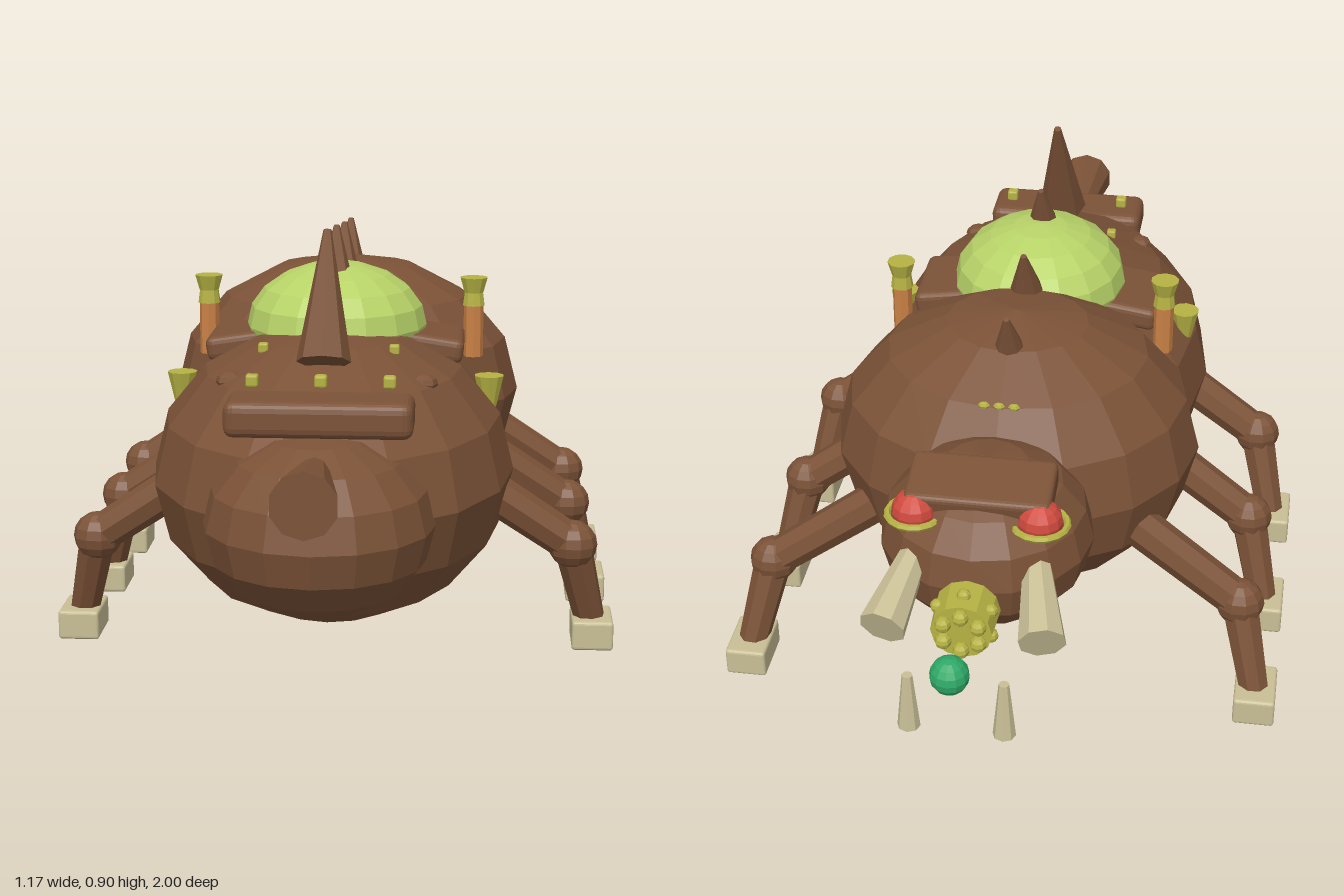
import * as THREE from 'three';
import { RoundedBoxGeometry } from 'three/addons/geometries/RoundedBoxGeometry.js';

const paint = (name, color) => {
  const m = new THREE.MeshStandardMaterial({ color, flatShading: true });
  m.name = name;
  return m;
};

export function createModel() {
  const model = new THREE.Group();
  model.name = 'beetle';
  const brown = paint('shell brown', 0x7b5237);
  const lime = paint('dome lime', 0xb8d368);
  const olive = paint('brass yellow', 0xb6b244);
  const cream = paint('claw cream', 0xc9bf96);
  const red = paint('eye red', 0xcf4a3e);
  const green = paint('orb green', 0x2fa968);
  const orange = paint('pipe orange', 0xc98146);

  const add = (name, geometry, material, pos = [0, 0, 0], rot = [0, 0, 0]) => {
    const mesh = new THREE.Mesh(geometry, material);
    mesh.name = name;
    mesh.position.set(...pos);
    mesh.rotation.set(...rot);
    model.add(mesh);
    return mesh;
  };
  const ball = (name, mat, pos, [rx, ry, rz], w = 16, h = 8) =>
    add(name, new THREE.SphereGeometry(1, w, h).scale(rx, ry, rz), mat, pos);
  const box = (name, mat, pos, size, radius, rot) =>
    add(name, new RoundedBoxGeometry(...size, 2, radius), mat, pos, rot);
  // Tapered round bar from a to b
  const taper = (name, mat, a, b, ra, rb, sides = 8) => {
    const p = new THREE.Vector3(...a), q = new THREE.Vector3(...b);
    const dir = q.clone().sub(p);
    const mesh = add(name, new THREE.CylinderGeometry(rb, ra, dir.length(), sides), mat);
    mesh.position.copy(p).add(q).multiplyScalar(0.5);
    mesh.quaternion.setFromUnitVectors(new THREE.Vector3(0, 1, 0), dir.normalize());
    return mesh;
  };

  // Body masses
  ball('abdomen', brown, [0, 0.39, 0.27], [0.37, 0.3, 0.5]);
  ball('thorax', brown, [0, 0.47, -0.16], [0.383, 0.3, 0.34]);
  ball('head', brown, [0, 0.5, -0.55], [0.21, 0.17, 0.21]);
  ball('tailBulb', brown, [0, 0.375, 0.66], [0.22, 0.175, 0.225]);
  taper('tailNozzle', brown, [0, 0.5, 0.65], [0, 0.5, 1], 0.012, 0.062, 10);
  ball('dome', lime, [0, 0.67, 0.165], [0.187, 0.13, 0.197], 16, 10);

  // Armour plates
  box('tailPlate', brown, [0, 0.578, 0.635], [0.355, 0.07, 0.13], 0.02);
  box('browPlate', brown, [0, 0.638, -0.61], [0.28, 0.055, 0.13], 0.012, [-0.2, 0, 0]);

  // Spikes along the back
  taper('tailHorn', brown, [0, 0.66, 0.535], [0, 0.9, 0.43], 0.053, 0.008);
  for (const [y, z] of [[0.775, 0.212], [0.75, -0.037], [0.73, -0.262]])
    taper('backSpike', brown, [0, y, z], [0, y + 0.1, z - 0.042], 0.034, 0.006);

  // Rivets
  for (const x of [-0.13, 0, 0.13])
    box('plateRivet', olive, [x, 0.637, 0.607], [0.024, 0.024, 0.024], 0.005);
  for (const x of [-0.03, 0, 0.03])
    ball('thoraxRivet', olive, [x, 0.688, -0.4], [0.012, 0.008, 0.008], 6, 4);

  // Snout with studs, and the orb ahead of it
  taper('snout', olive, [0, 0.478, -0.77], [0, 0.478, -0.845], 0.062, 0.058, 12);
  for (let i = 0; i < 6; i++) {
    const a = (i + 0.5) * Math.PI / 3;
    const c = Math.cos(a), s = Math.sin(a);
    ball('snoutStud', olive, [c * 0.038, 0.478 + s * 0.038, -0.85], [0.016, 0.016, 0.018], 8, 6);
    ball('snoutSideStud', olive, [c * 0.058, 0.478 + s * 0.058, -0.81], [0.014, 0.014, 0.014], 8, 6);
  }
  ball('orb', green, [0, 0.475, -0.963], [0.037, 0.037, 0.037], 12, 8);

  // Mirrored parts
  for (const s of [-1, 1]) {
    box('sidePlate', brown, [s * 0.2, 0.635, 0.165], [0.13, 0.05, 0.19], 0.015, [0, 0, s * -0.15]);
    ball('backBump', brown, [s * 0.19, 0.605, 0.46], [0.028, 0.02, 0.03], 8, 6);
    box('backRivet', olive, [s * 0.13, 0.66, 0.4], [0.02, 0.02, 0.02], 0.004);

    // Chimney and side funnel
    taper('chimney', orange, [s * 0.284, 0.58, 0.042], [s * 0.284, 0.692, 0.042], 0.021, 0.021);
    taper('chimneyCollar', olive, [s * 0.284, 0.69, 0.042], [s * 0.284, 0.72, 0.042], 0.024, 0.02, 10);
    taper('chimneyCup', olive, [s * 0.284, 0.718, 0.042], [s * 0.284, 0.75, 0.042], 0.021, 0.03, 10);
    taper('sideFunnel', olive, [s * 0.318, 0.51, 0.225], [s * 0.318, 0.575, 0.225], 0.016, 0.031, 10);

    // Eyes, mandibles and hanging fangs
    ball('eye', red, [s * 0.12, 0.612, -0.66], [0.044, 0.042, 0.044], 12, 8);
    add('eyeRing', new THREE.TorusGeometry(0.052, 0.007, 6, 16), olive,
      [s * 0.12, 0.605, -0.66], [Math.PI / 2, 0, 0]);
    taper('mandible', cream, [s * 0.115, 0.53, -0.67], [s * 0.15, 0.467, -0.84], 0.026, 0.046);
    taper('fang', cream, [s * 0.09, 0.3, -0.91], [s * 0.09, 0.42, -0.91], 0.022, 0.01);

    // Legs: hip z, knee z, foot z
    for (const [hip, knee, foot] of [[0.3, 0.277, 0.222], [-0.025, -0.058, -0.11], [-0.33, -0.363, -0.42]]) {
      const k = [s * 0.495, 0.232, knee];
      taper('upperLeg', brown, [s * 0.27, 0.385, hip], k, 0.043, 0.04);
      ball('knee', brown, k, [0.051, 0.051, 0.048], 10, 8);
      taper('lowerLeg', brown, k, [s * 0.538, 0.05, foot], 0.04, 0.032);
      box('foot', cream, [s * 0.541, 0.034, foot], [0.086, 0.062, 0.125], 0.007);
    }
  }
  return model;
}
